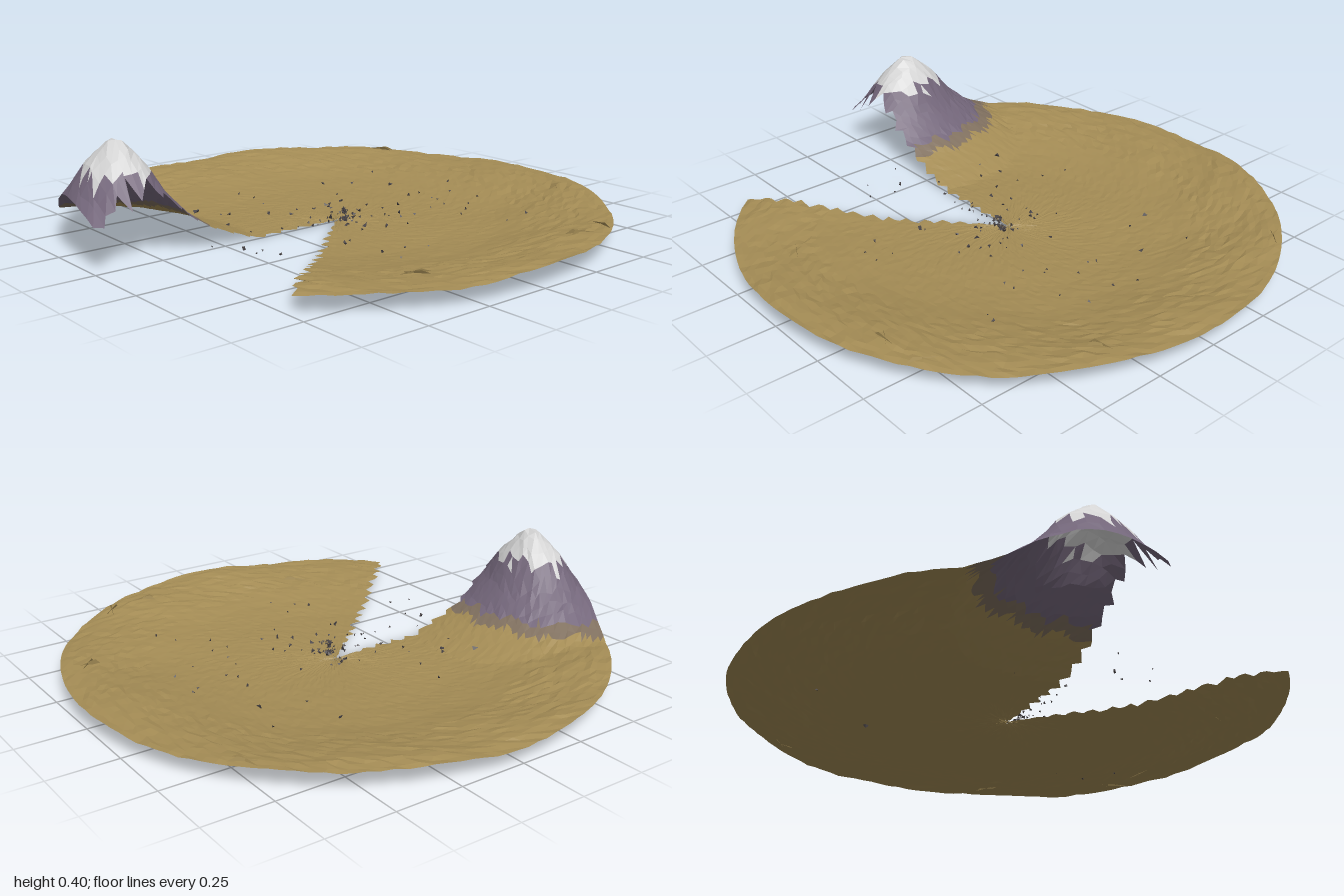
import * as THREE from 'three';

const mat = (name, color) => new THREE.MeshStandardMaterial({ name, color, flatShading: true, side: THREE.DoubleSide });

// Seeded random numbers
let seed = 7;
const rnd = () => {
  seed = (seed * 1664525 + 1013904223) % 4294967296;
  return seed / 4294967296;
};

// Piecewise-linear profile lookup
function lookup(pts, t) {
  for (let i = 1; i < pts.length; i++) {
    const [a, ya] = pts[i - 1], [b, yb] = pts[i];
    if (t <= b) return ya + (yb - ya) * (t - a) / (b - a);
  }
  return pts[pts.length - 1][1];
}

const PEAK = { x: -0.155, z: 0.825 };
const BOWL = [[0, 0.008], [0.45, 0.01], [0.6, 0.022], [0.72, 0.042], [0.85, 0.062], [0.93, 0.07], [1.01, 0.067]];
const MOUNTAIN = [[0, 0.415], [0.03, 0.39], [0.09, 0.32], [0.15, 0.215], [0.23, 0.125], [0.3, 0.08], [0.38, 0.045], [0.5, 0]];

// Stretched distance from the summit
function peakDistance(x, z) {
  const dz = z - PEAK.z;
  return Math.hypot((x - PEAK.x) / 1.35, dz > 0 ? dz / 1.08 : dz);
}

function height(x, z) {
  const r = Math.hypot(x, z), a = Math.atan2(x, z);
  const rim = THREE.MathUtils.smoothstep(r, 0.45, 0.95);
  const waves = 0.006 * Math.sin(5 * a + 6 * r) + 0.005 * Math.sin(11 * a - 9 * r);
  const ground = lookup(BOWL, r) + rim * waves + 0.003 * Math.sin(9 * x + 2) * Math.sin(8 * z);
  return Math.max(ground, lookup(MOUNTAIN, peakDistance(x, z)));
}

// Broken disc of land, sorted by triangle into bands of colour
function makeLand(materials) {
  const rings = 44, segs = 132, sweep = Math.PI * 2 - 0.743;
  const grid = [];
  for (let i = 0; i <= rings; i++) {
    const row = [];
    for (let j = 0; j <= segs; j++) {
      const r0 = i / rings, edge = j === 0 || j === segs;
      const inside = i > 0 && i < rings;
      const r = r0 + (inside ? (rnd() - 0.5) * 0.012 : 0);
      let a = sweep * j / segs + (inside && !edge ? (rnd() - 0.5) * 0.022 : 0);
      // Ragged teeth along both cut edges
      if (edge && inside) {
        const tooth = (i % 3 - 1) * 0.014 + (rnd() - 0.5) * 0.012 + (j === 0 && r0 > 0.82 ? (i % 2 ? -0.03 : 0.012) : 0);
        a += tooth / Math.max(r, 0.15);
      }
      const x = -r * Math.sin(a), z = r * Math.cos(a);
      const rough = (rnd() - 0.5) * (r0 > 0.7 ? 0.007 : 0.0025);
      row.push(new THREE.Vector3(x, Math.max(0, height(x, z) + rough), z));
    }
    grid.push(row);
  }
  const bands = materials.map(() => []);
  const face = (p, q, s) => {
    const x = (p.x + q.x + s.x) / 3, z = (p.z + q.z + s.z) / 3;
    const a = Math.atan2(x - PEAK.x, z - PEAK.z);
    const d = peakDistance(x, z) + 0.009 * Math.sin(9 * a) + 0.006 * Math.sin(17 * a + 1);
    const band = d < 0.105 ? 0 : d < 0.24 ? 1 : d < 0.285 ? 2 : 3;
    for (const v of [p, q, s]) bands[band].push(v);
  };
  for (let i = 0; i < rings; i++) {
    for (let j = 0; j < segs; j++) {
      const a = grid[i][j], b = grid[i][j + 1], c = grid[i + 1][j], d = grid[i + 1][j + 1];
      if (i > 0) face(a, b, c);
      face(b, d, c);
    }
  }
  const names = ['snowCap', 'rockSlope', 'foothill', 'ground'];
  return bands.map((points, k) => {
    const geo = new THREE.BufferGeometry().setFromPoints(points);
    geo.computeVertexNormals();
    const mesh = new THREE.Mesh(geo, materials[k]);
    mesh.name = names[k];
    return mesh;
  });
}

// Small shards scattered around the broken centre
function makeDebris(material) {
  const group = new THREE.Group();
  group.name = 'debris';
  for (let i = 0; i < 120; i++) {
    const r = 0.75 * Math.pow(rnd(), 2), a = rnd() * Math.PI * 2;
    const shard = new THREE.Mesh(new THREE.TetrahedronGeometry(0.004 + 0.009 * rnd() * rnd()), material);
    const x = 0.04 + r * Math.sin(a), z = r * Math.cos(a);
    shard.position.set(x, 0.016 + 0.045 * rnd(), z);
    shard.rotation.set(rnd() * 6, rnd() * 6, rnd() * 6);
    shard.scale.set(1.4, 0.7, 1);
    shard.name = 'shard';
    group.add(shard);
  }
  return group;
}

// Thin folded ridges near the rim: x, z, heading
function makeRidges(material) {
  const group = new THREE.Group();
  group.name = 'ridges';
  const spots = [[-0.5, 0.57, 0.5], [-0.6, -0.76, -0.9], [0.8, -0.53, 0.3], [0.83, -0.38, 1.5], [0.34, -0.84, 0.8], [0.73, 0.3, -1.1]];
  for (const [x, z, heading] of spots) {
    for (const turn of [0, 0.6]) {
      const a = heading + turn, dx = 0.055 * Math.cos(a), dz = 0.055 * Math.sin(a);
      const geo = new THREE.BufferGeometry().setFromPoints([
        new THREE.Vector3(x - dx, height(x - dx, z - dz), z - dz),
        new THREE.Vector3(x + dx, height(x + dx, z + dz), z + dz),
        new THREE.Vector3(x + dx * 0.5, height(x, z) + 0.014, z + dz * 0.5 + 0.006),
      ]);
      geo.computeVertexNormals();
      const ridge = new THREE.Mesh(geo, material);
      ridge.name = 'ridge';
      group.add(ridge);
    }
  }
  return group;
}

export function createModel() {
  seed = 7;
  const snow = mat('snow', 0xd4d4d4);
  const rock = mat('purple rock', 0x74677b);
  const scree = mat('brown scree', 0x80705f);
  const earth = mat('dry earth', 0xa48c55);
  const rubble = mat('dark rubble', 0x4b4648);

  const model = new THREE.Group();
  model.name = 'brokenLand';
  model.add(...makeLand([snow, rock, scree, earth]), makeDebris(rubble), makeRidges(earth));
  return model;
}
